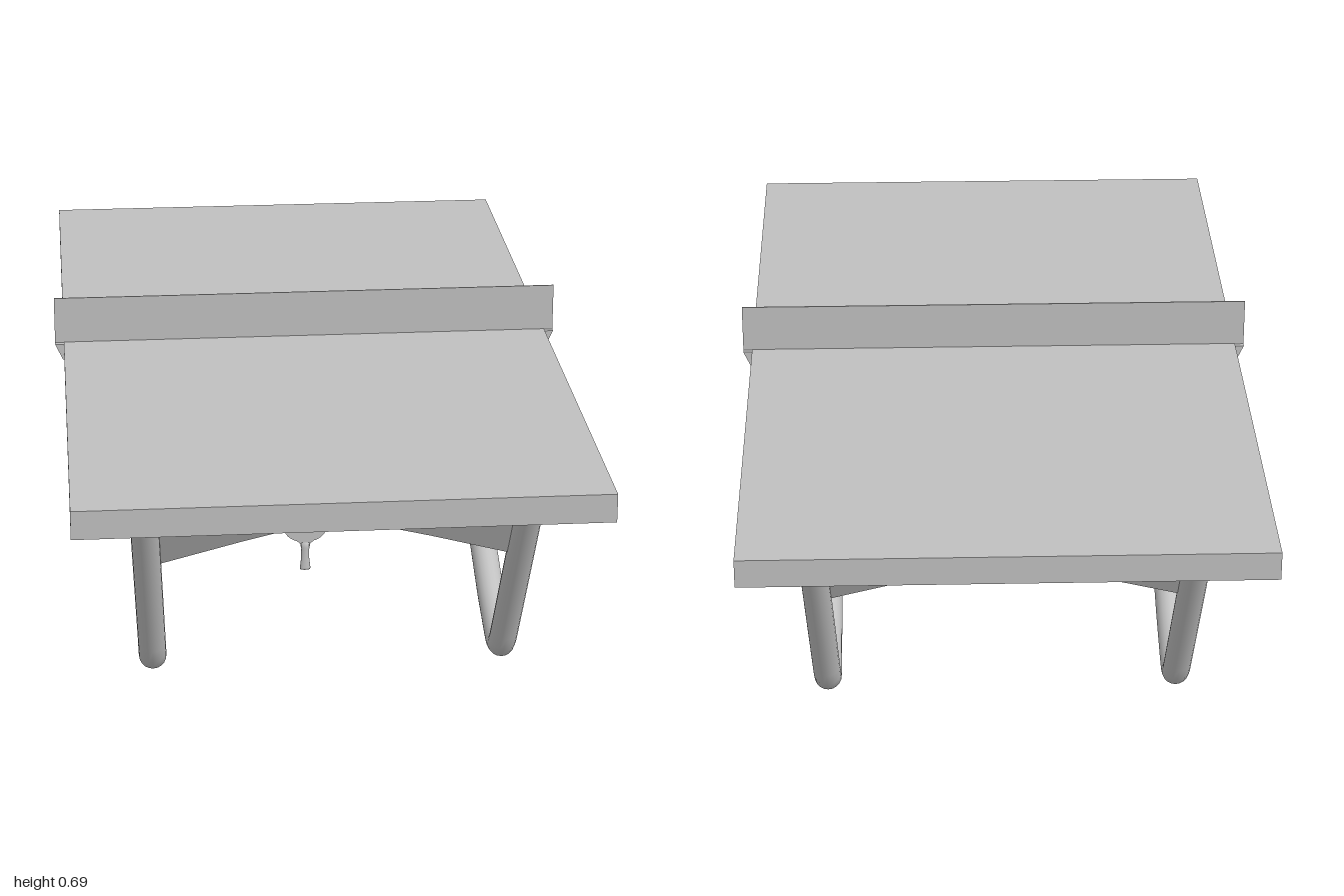
import * as THREE from 'three';

// Curve that places one tube ring exactly at each point of a path
class RingPath extends THREE.Curve {
  constructor(points) {
    super();
    this.points = points;
  }
  getPoint(t, target = new THREE.Vector3()) {
    const n = this.points.length - 1;
    const i = Math.min(Math.floor(t * n + 1e-6), n - 1);
    return target.lerpVectors(this.points[i], this.points[i + 1], t * n - i);
  }
  getPointAt(u, target) {
    return this.getPoint(u, target);
  }
  getTangentAt(u, target = new THREE.Vector3()) {
    const p = this.points, n = p.length - 1, i = Math.round(u * n);
    target.set(0, 0, 0);
    if (i > 0) target.add(p[i].clone().sub(p[i - 1]).normalize());
    if (i < n) target.add(p[i + 1].clone().sub(p[i]).normalize());
    return target.normalize();
  }
}

export function createModel() {
  const model = new THREE.Group();
  model.name = 'pingPongTable';
  const grey = new THREE.MeshStandardMaterial({ color: 0xc0c0c0 });
  grey.name = 'light grey';

  const add = (name, geometry, parent = model) => {
    const mesh = new THREE.Mesh(geometry, grey);
    mesh.name = name;
    parent.add(mesh);
    return mesh;
  };
  // Extrusion centred on its own depth
  const plate = (points, depth) => {
    const shape = new THREE.Shape(points.map(([x, y]) => new THREE.Vector2(x, y)));
    return new THREE.ExtrudeGeometry(shape, { depth, bevelEnabled: false }).translate(0, 0, -depth / 2);
  };

  // Table top
  add('tableTop', new THREE.BoxGeometry(1.11, 0.062, 2)).position.y = 0.558;

  // Net with a wedge clamp at each end
  add('net', new THREE.BoxGeometry(1.15, 0.107, 0.003)).position.y = 0.6415;
  for (const side of [1, -1]) {
    const clamp = add('netClamp', plate([[0.55, 0.55], [0.558, 0.55], [0.575, 0.587], [0.55, 0.587]], 0.022));
    clamp.rotation.y = side > 0 ? 0 : Math.PI;
  }

  // Bent tube legs, one per long side, leaning out towards the top
  const half = [[0.855, 0.55], [0.632, 0.122], [0.617, 0.094], [0.598, 0.074], [0.575, 0.069],
    [0.55, 0.074], [0.43, 0.114], [0.155, 0.24], [0.06, 0.267]];
  const profile = [...half, [0, 0.279], ...half.map(([z, y]) => [-z, y]).reverse()];
  for (const side of [1, -1]) {
    const path = profile.map(([z, y]) => {
      const lean = Math.abs(z) > 0.598 ? (y - 0.074) * 0.046 : 0;
      return new THREE.Vector3(side * (0.383 + lean), y, z);
    });
    add('legTube', new THREE.TubeGeometry(new RingPath(path), path.length - 1, 0.03, 20, false));
  }

  // Arched panels between the sloping legs at both ends
  const slope = Math.atan(0.523);
  const arch = [[-0.39, 0.358], [-0.2, 0.422], [-0.1, 0.453], [0, 0.464], [0.1, 0.453], [0.2, 0.422], [0.39, 0.358]];
  const outline = [...arch, [0.4, 0.54], [-0.4, 0.54]].map(([x, y]) => [x, (y - 0.1) / Math.cos(slope)]);
  for (const end of [0, Math.PI]) {
    const pivot = new THREE.Group();
    pivot.name = 'endPanel';
    pivot.rotation.y = end;
    model.add(pivot);
    const panel = add('archedPanel', plate(outline, 0.008), pivot);
    panel.position.set(0, 0.1, 0.62);
    panel.rotation.x = slope;
  }

  // Standing bat: blade, neck and flared handle
  const bat = new THREE.Group();
  bat.name = 'bat';
  model.add(bat);
  const blade = new THREE.Shape();
  blade.moveTo(-0.022, 0.074);
  blade.bezierCurveTo(-0.042, 0.08, -0.055, 0.1, -0.055, 0.124);
  blade.bezierCurveTo(-0.055, 0.163, -0.034, 0.184, 0, 0.184);
  blade.bezierCurveTo(0.034, 0.184, 0.055, 0.163, 0.055, 0.124);
  blade.bezierCurveTo(0.055, 0.1, 0.042, 0.08, 0.022, 0.074);
  add('batBlade', new THREE.ExtrudeGeometry(blade, { depth: 0.006, bevelEnabled: false, curveSegments: 12 })
    .translate(0, 0, -0.003), bat);
  add('batNeck', plate([[-0.009, 0.05], [0.009, 0.05], [0.012, 0.066], [0.022, 0.075], [-0.022, 0.075], [-0.012, 0.066]], 0.005), bat);
  const grip = [[0, 0], [0.012, 0], [0.0125, 0.004], [0.0095, 0.03], [0.0095, 0.055], [0.011, 0.068], [0, 0.07]];
  add('batHandle', new THREE.LatheGeometry(grip.map(([r, y]) => new THREE.Vector2(r, y)), 16), bat).scale.z = 0.55;

  return model;
}
